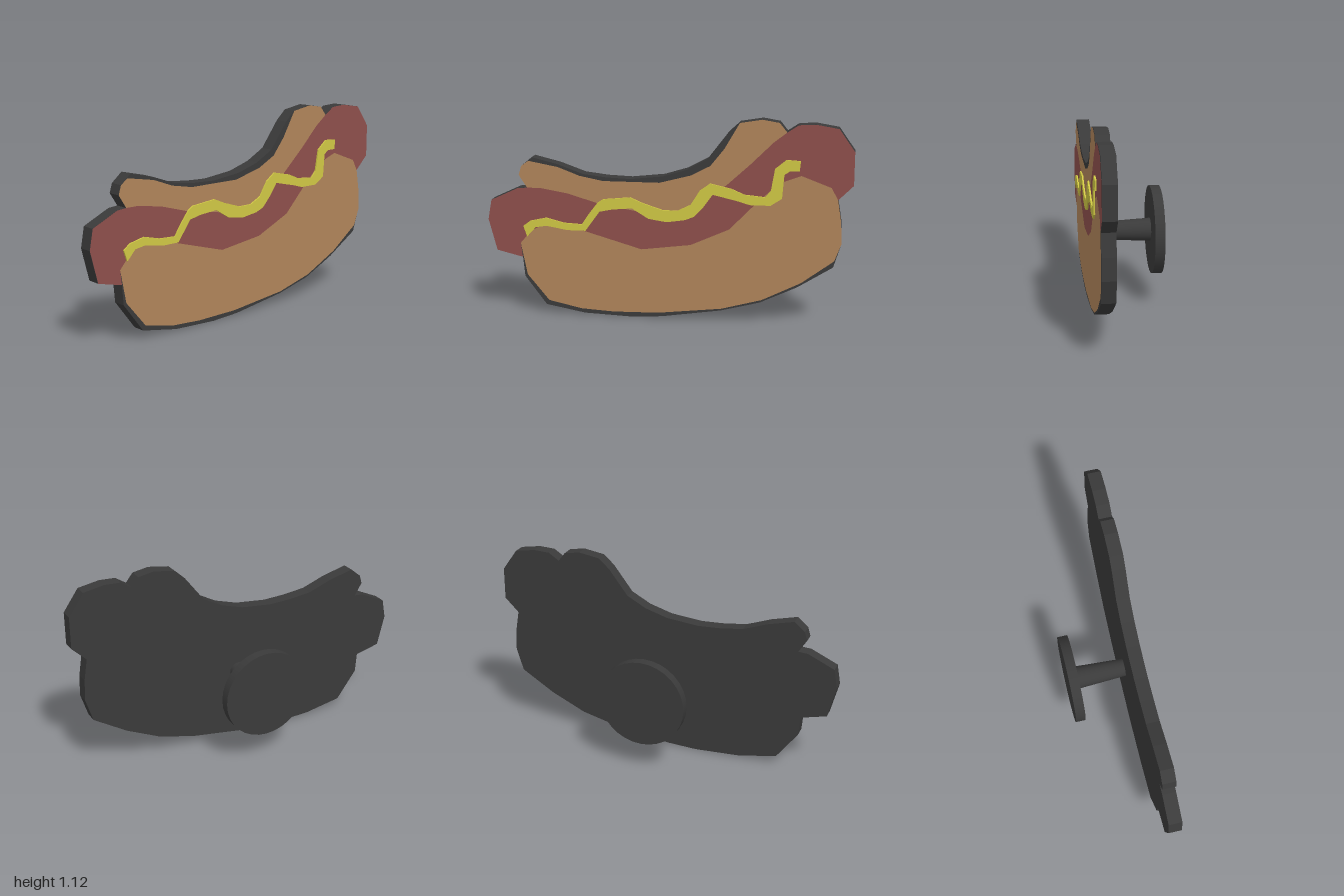
import * as THREE from 'three';

const dark = new THREE.MeshStandardMaterial({ color: 0x3a3a3a, flatShading: true });
const paint = (color) => new THREE.MeshStandardMaterial({ color, flatShading: true });
const bun = paint(0xb0845a), meat = paint(0x8e4f4c), yellow = paint(0xd0c844);

const shapeOf = (pts) => new THREE.Shape(pts.map(([x, y]) => new THREE.Vector2(x, y)));

export function createModel() {
  const group = new THREE.Group();
  const add = (name, geometry, material, z) => {
    const mesh = new THREE.Mesh(geometry, material);
    mesh.name = name;
    mesh.position.z = z;
    group.add(mesh);
    return mesh;
  };
  const slab = (pts, depth) =>
    new THREE.ExtrudeGeometry(shapeOf(pts), { depth, bevelEnabled: false });
  const face = (pts) => new THREE.ShapeGeometry(shapeOf(pts));

  // Outline stretches shared by the backing plate and the coloured faces
  const sausageRight = [[0.915, 0.7], [0.995, 0.78], [0.995, 0.96], [0.91, 1.08], [0.79, 1.1], [0.7, 1.095], [0.64, 1.055]];
  const sausageLeft = [[-0.775, 0.715], [-0.83, 0.71], [-0.98, 0.64], [-1, 0.53], [-0.955, 0.355], [-0.81, 0.32]];
  const bunTip = [[0.64, 1.055], [0.6, 1.105], [0.51, 1.12], [0.39, 1.1]];
  const bunRight = [[0.94, 0.46], [0.935, 0.58], [0.915, 0.7]];
  // Edges where the sausage meets the two bun halves, left to right
  const upperSeam = [[-0.775, 0.715], [-0.7, 0.715], [-0.55, 0.69], [-0.38, 0.64], [-0.15, 0.6],
    [0.06, 0.61], [0.2, 0.68], [0.32, 0.76], [0.45, 0.88], [0.57, 1.0], [0.64, 1.055]];
  const lowerSeam = [[-0.82, 0.4], [-0.76, 0.47], [-0.67, 0.52], [-0.47, 0.485], [-0.14, 0.39], [0.13, 0.425],
    [0.34, 0.52], [0.47, 0.655], [0.6, 0.78], [0.72, 0.825], [0.88, 0.765], [0.915, 0.7]];

  // Dark backing plate
  add('backingPlate', slab([
    [-0.81, 0.32], [-0.8, 0.21], [-0.68, 0.05], [-0.46, 0.01], [-0.2, 0], [-0.03, 0.01], [0.3, 0.06],
    [0.51, 0.115], [0.71, 0.21], [0.9, 0.33], ...bunRight, ...sausageRight.slice(1), ...bunTip.slice(1),
    [0.33, 1.045], [0.22, 0.9], [0.11, 0.84], [-0.02, 0.8], [-0.2, 0.78], [-0.33, 0.785], [-0.46, 0.8],
    [-0.6, 0.85], [-0.745, 0.885], [-0.805, 0.835], [-0.82, 0.785], ...sausageLeft.slice(0, -1),
  ], 0.075), dark, 0.125);

  // Coloured faces
  add('frontBun', face([
    [-0.785, 0.22], [-0.665, 0.075], [-0.48, 0.035], [-0.3, 0.025], [-0.05, 0.03], [0.3, 0.07],
    [0.52, 0.13], [0.73, 0.235], [0.905, 0.365], ...bunRight, ...lowerSeam.slice(0, -1).reverse(),
  ]), bun, 0.202);
  add('sausage', face([
    ...lowerSeam, ...sausageRight.slice(1), ...upperSeam.slice(0, -1).reverse(), ...sausageLeft.slice(1),
  ]), meat, 0.202);
  add('backBun', face([
    ...upperSeam, ...bunTip.slice(1), [0.31, 0.96], [0.235, 0.865], [0.13, 0.81], [-0.04, 0.765],
    [-0.35, 0.765], [-0.48, 0.79], [-0.6, 0.835], [-0.765, 0.865], [-0.805, 0.835], [-0.82, 0.785],
  ]), bun, 0.202);

  // Raised mustard squiggle
  add('mustard', slab([
    [-0.8, 0.5], [-0.76, 0.53], [-0.67, 0.55], [-0.57, 0.525], [-0.47, 0.52], [-0.43, 0.58], [-0.38, 0.645],
    [-0.35, 0.665], [-0.2, 0.68], [-0.13, 0.65], [-0.02, 0.615], [0.06, 0.615], [0.13, 0.65], [0.18, 0.73],
    [0.235, 0.77], [0.35, 0.745], [0.42, 0.715], [0.53, 0.705], [0.56, 0.74], [0.58, 0.86], [0.64, 0.91],
    [0.715, 0.905], [0.71, 0.85], [0.66, 0.85], [0.63, 0.83], [0.62, 0.7], [0.56, 0.66], [0.45, 0.66],
    [0.38, 0.68], [0.25, 0.71], [0.2, 0.64], [0.15, 0.585], [0.1, 0.565], [0, 0.55], [-0.1, 0.565],
    [-0.19, 0.62], [-0.3, 0.61], [-0.37, 0.595], [-0.45, 0.485], [-0.55, 0.485], [-0.67, 0.505],
    [-0.73, 0.495], [-0.78, 0.44],
  ], 0.01), yellow, 0.201);

  // Tapered post and round clasp behind the plate
  const round = (name, rFront, rBack, zFront, zBack) => {
    const g = new THREE.CylinderGeometry(rFront, rBack, zFront - zBack, 32).rotateX(Math.PI / 2);
    const mesh = add(name, g, new THREE.MeshStandardMaterial({ color: 0x3a3a3a }), (zFront + zBack) / 2);
    mesh.position.x = 0.01;
    mesh.position.y = 0.414;
  };
  round('post', 0.05, 0.065, 0.126, -0.156);
  round('clasp', 0.248, 0.248, -0.155, -0.21);

  return group;
}
